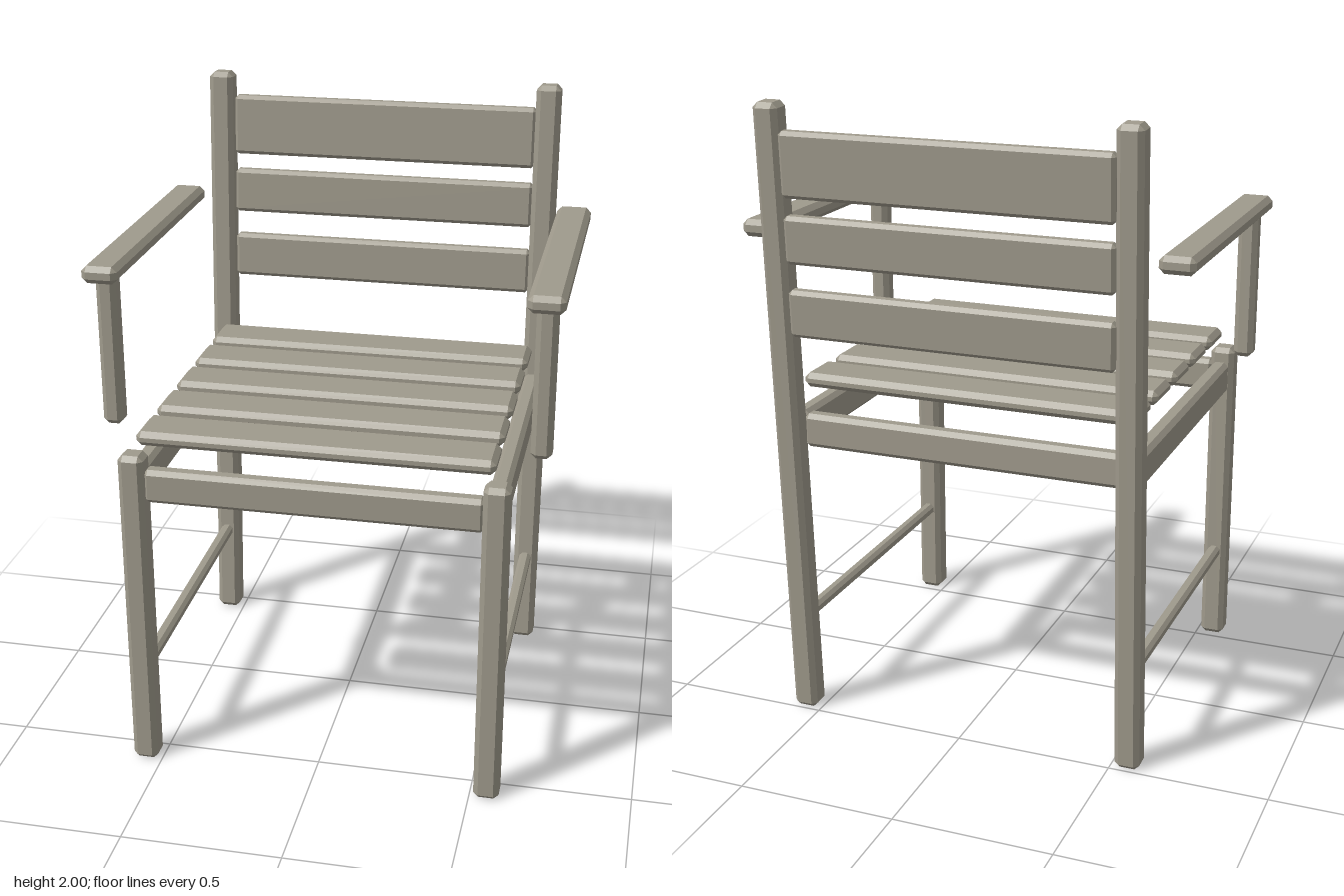
import * as THREE from 'three';
import { ConvexGeometry } from 'three/addons/geometries/ConvexGeometry.js';

const wood = new THREE.MeshStandardMaterial({ color: 0x9f9a8c, flatShading: true });

// Box with chamfered edges and corners
function beam(name, w, h, d, x, y, z, bevel = 0.016) {
  const pts = [];
  const a = w / 2, b = h / 2, c = d / 2;
  for (const sx of [-1, 1]) for (const sy of [-1, 1]) for (const sz of [-1, 1]) {
    pts.push(new THREE.Vector3(sx * a, sy * (b - bevel), sz * (c - bevel)));
    pts.push(new THREE.Vector3(sx * (a - bevel), sy * b, sz * (c - bevel)));
    pts.push(new THREE.Vector3(sx * (a - bevel), sy * (b - bevel), sz * c));
  }
  const mesh = new THREE.Mesh(new ConvexGeometry(pts), wood);
  mesh.name = name;
  mesh.position.set(x, y, z);
  return mesh;
}

export function createModel() {
  const chair = new THREE.Group();
  chair.name = 'armchair';

  // Leaning back: rear legs and the slats between them
  const back = new THREE.Group();
  back.name = 'backFrame';
  back.position.set(0, 1, -0.505);
  back.rotation.x = -0.05;
  for (const [y, h] of [[1.82, 0.2], [1.593, 0.148], [1.365, 0.148]]) {
    back.add(beam('backSlat', 1.03, h, 0.046, 0, y - 1, -0.016, 0.012));
  }
  chair.add(back);

  // Parts mirrored on both sides
  for (const [side, s] of [['left', 1], ['right', -1]]) {
    back.add(beam(side + 'BackLeg', 0.08, 2, 0.08, s * 0.553, 0, 0));
    chair.add(
      beam(side + 'FrontLeg', 0.08, 1.07, 0.08, s * 0.553, 0.535, 0.558),
      beam(side + 'SideRail', 0.058, 0.108, 0.99, s * 0.548, 0.968, 0.035, 0.014),
      beam(side + 'Stretcher', 0.04, 0.04, 0.97, s * 0.553, 0.322, 0.045, 0.011),
      beam(side + 'Armrest', 0.11, 0.054, 0.952, s * 0.66, 1.593, 0.003),
      beam(side + 'ArmPost', 0.064, 0.485, 0.064, s * 0.66, 1.338, 0.393)
    );
  }

  // Front and rear rails under the seat
  chair.add(beam('frontRail', 1.04, 0.108, 0.056, 0, 0.968, 0.552, 0.014));
  chair.add(beam('rearRail', 1.04, 0.108, 0.056, 0, 0.968, -0.459, 0.014));

  // Seat slats
  for (let i = 0; i < 5; i++) {
    chair.add(beam('seatSlat', 1.088, 0.046, 0.157, 0, 1.114, 0.479 - i * 0.2085));
  }
  return chair;
}
